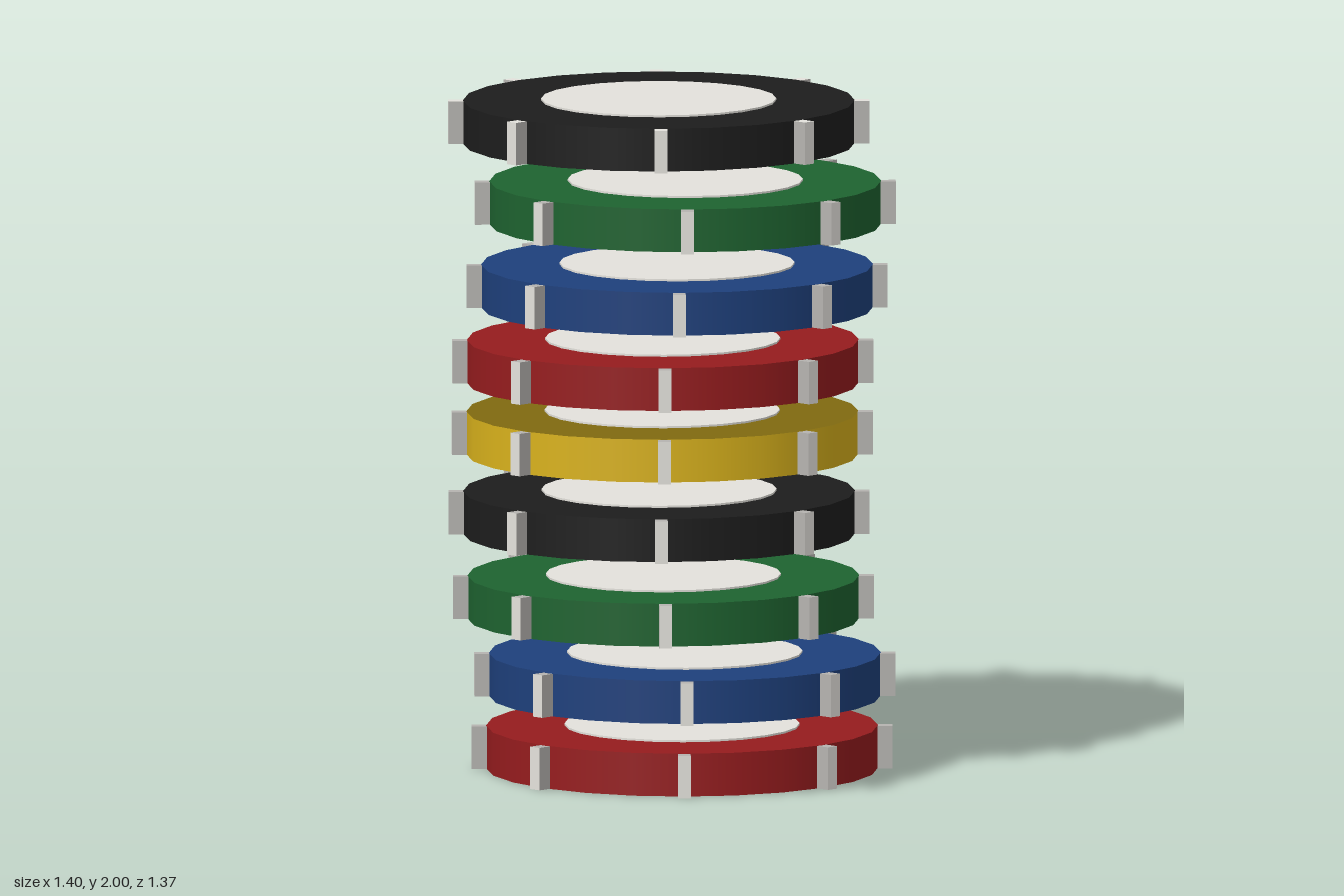
import * as THREE from 'three';

const mat = (name, color) => {
  const m = new THREE.MeshStandardMaterial({ color });
  m.name = name;
  return m;
};

export function createModel() {
  const red = mat('red', 0x961c1e);
  const blue = mat('blue', 0x1e407c);
  const green = mat('green', 0x1e6330);
  const black = mat('black', 0x1d1d1d);
  const yellow = mat('yellow', 0xd9b21c);
  const white = mat('offWhite', 0xe4e2dc);
  const grey = mat('grey', 0xb6b4b0);
  const darkRed = mat('darkRed', 0x440606);
  const darkYellow = mat('darkYellow', 0x806a10);

  // Rim, upper face and lower face colours, then sideways offset, from the bottom up
  const chips = [
    [red, red, darkRed, -0.007, -0.062], [blue, blue, blue, 0.076, 0.011],
    [green, green, green, 0.039, 0.064], [black, black, black, -0.063, -0.022],
    [yellow, darkYellow, darkYellow, -0.079, -0.052], [red, red, red, 0.013, 0.04],
    [blue, blue, blue, 0.08, 0.048], [green, green, green, 0.021, -0.047],
    [black, black, black, -0.074, -0.032],
  ];
  const pitch = 0.2332, height = 0.128;

  const bodyGeo = new THREE.CylinderGeometry(0.58, 0.58, height, 24);
  const discGeo = new THREE.CylinderGeometry(0.348, 0.348, 0.012, 24);
  const markGeo = new THREE.BoxGeometry(0.038, height - 0.001, 0.08);

  // Marks have a pale outer face; only those of the top chip are pale above
  const markMaterials = [grey, grey, grey, grey, white, grey];
  const topMarkMaterials = [grey, grey, white, grey, white, grey];

  const model = new THREE.Group();
  model.name = 'chipStack';

  chips.forEach(([rim, upper, lower, x, z], i) => {
    const chip = new THREE.Group();
    chip.name = `chip${i + 1}`;
    chip.position.set(x, i * pitch + height / 2, z);

    const add = (name, geo, m) => {
      const mesh = new THREE.Mesh(geo, m);
      mesh.name = name;
      chip.add(mesh);
      return mesh;
    };

    add('chipBody', bodyGeo, [rim, upper, lower]);
    // Raised centre on the upper face
    add('centreDisc', discGeo, white).position.y = height / 2;

    // Eight edge marks around the rim
    for (let k = 0; k < 8; k++) {
      const a = (k * Math.PI) / 4;
      const mark = add('edgeMark', markGeo, i === chips.length - 1 ? topMarkMaterials : markMaterials);
      mark.position.set(Math.sin(a) * 0.583, 0, Math.cos(a) * 0.583);
      mark.rotation.y = a;
    }
    model.add(chip);
  });
  return model;
}
